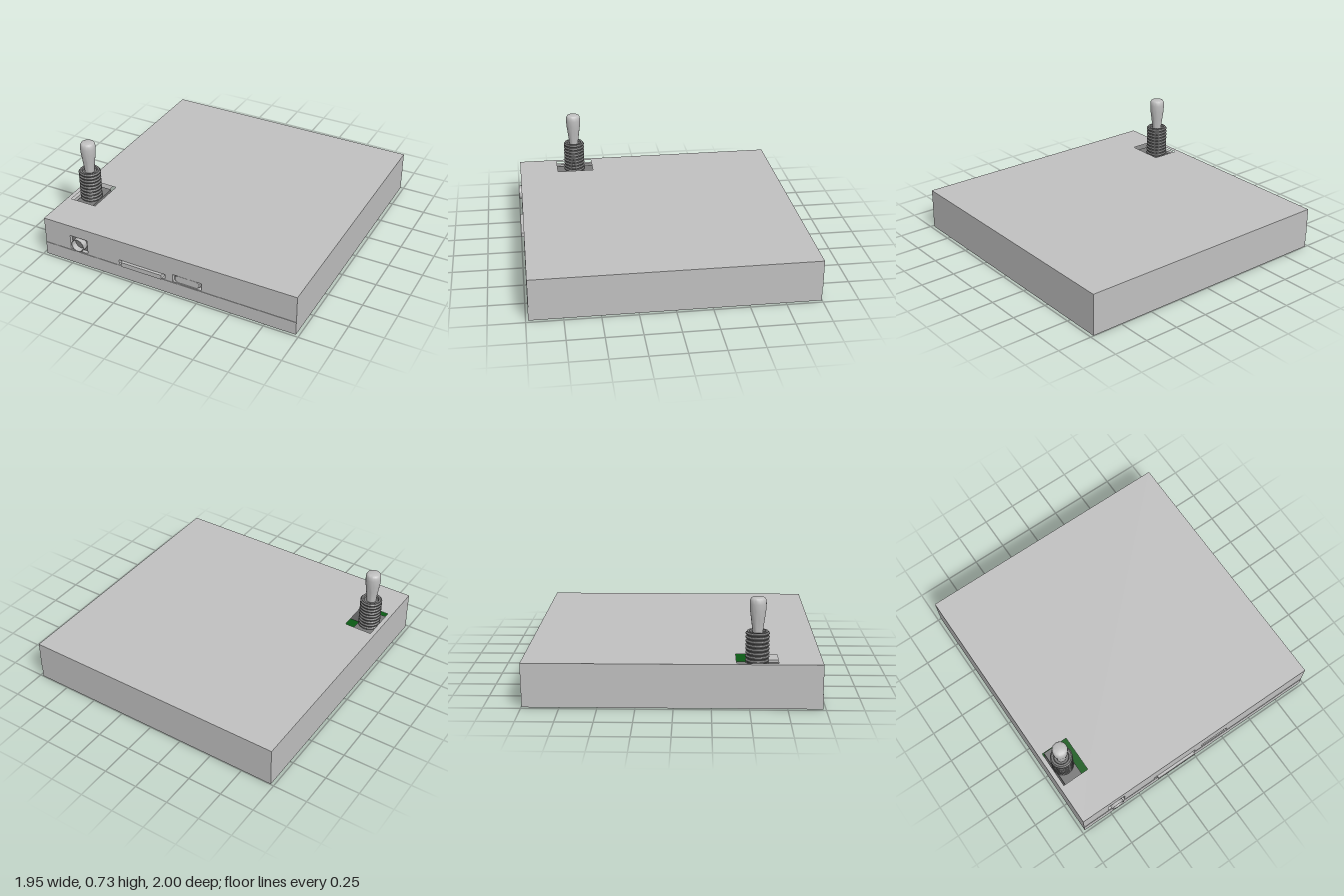
import * as THREE from 'three';
import { toCreasedNormals } from 'three/addons/utils/BufferGeometryUtils.js';

const mat = (name, color, side = THREE.FrontSide) => {
  const m = new THREE.MeshStandardMaterial({ color, side });
  m.name = name;
  return m;
};

// Closed outline from a list of [x, y] points
const outline = (pts, C = THREE.Shape) => new C(pts.map(([x, y]) => new THREE.Vector2(x, y)));
const rect = (x0, x1, y0, y1) => [[x0, y0], [x1, y0], [x1, y1], [x0, y1]];

function extrude(pts, holes, depth) {
  const s = outline(pts);
  holes.forEach(h => s.holes.push(outline(h, THREE.Path)));
  return new THREE.ExtrudeGeometry(s, { depth, bevelEnabled: false });
}
// Outline drawn in x and z, standing between two heights
function slab(pts, holes, y0, y1) {
  const flip = p => p.map(([x, z]) => [x, -z]);
  return extrude(flip(pts), holes.map(flip), y1 - y0).rotateX(-Math.PI / 2).translate(0, y0, 0);
}
const box = (x0, x1, y0, y1, z0, z1) =>
  new THREE.BoxGeometry(x1 - x0, y1 - y0, z1 - z0)
    .translate((x0 + x1) / 2, (y0 + y1) / 2, (z0 + z1) / 2);
const lathe = (pts, n) =>
  new THREE.LatheGeometry(pts.map(([r, y]) => new THREE.Vector2(r, y)), n);

export function createModel() {
  const root = new THREE.Group();
  root.name = 'switchBox';
  const shell = mat('case grey', 0xc0c0c0);
  const metal = mat('light metal', 0xc0c0c0, THREE.DoubleSide);
  const dark = mat('dark grey', 0x787878);
  const green = mat('board green', 0x0a5a14);
  const add = (name, geo, material, parent = root) => {
    const m = new THREE.Mesh(geo, material);
    m.name = name;
    parent.add(m);
    return m;
  };
  const group = name => {
    const g = new THREE.Group();
    g.name = name;
    root.add(g);
    return g;
  };

  const W = 0.977, T = 0.03, SEAM = 0.1, H = 0.302;

  // Lower tray, set a hair forward so the seam shows
  const tray = group('lowerTray');
  add('floor', box(-W, W, 0, T, -0.997, 0.983), shell, tray);
  add('trayWalls', slab(rect(-W, W, -0.997, 0.983), [rect(-W + T, W - T, -0.967, 0.953)], T, SEAM), shell, tray);

  // Upper cover with the switch window and port cut-outs
  const cover = group('upperCover');
  const F = 0.98, B = -1;
  add('lid', slab(rect(-W, W, B, F), [rect(-0.945, -0.742, 0.412, 0.688)], H - T, H), shell, cover);
  add('sideAndBackWalls', slab([[-W, F - T], [-W, B], [W, B], [W, F - T],
    [W - T, F - T], [W - T, B + T], [-W + T, B + T], [-W + T, F - T]], [], SEAM, H - T), shell, cover);
  const jackHole = rect(-0.765, -0.625, 0.11, 0.22);
  const cardHole = rect(-0.366, 0, 0.108, 0.145);
  const videoHole = rect(0.057, 0.28, 0.108, 0.166);
  add('frontWall', extrude(rect(-W, W, SEAM, H - T), [jackHole, cardHole, videoHole], T)
    .translate(0, 0, F - T), shell, cover);

  // Circuit board carrying all connectors
  add('circuitBoard', box(-0.945, 0.4, 0.08, 0.1, 0.3, 0.945), green);

  // Power jack: recessed body and a thin ring
  const jack = group('powerJack');
  add('jackBody', box(-0.765, -0.625, 0.1, 0.225, 0.72, 0.955), dark, jack);
  const ring = lathe([[0.045, 0], [0.045, 0.045], [0.05, 0.045], [0.05, 0]], 32);
  add('jackRing', toCreasedNormals(ring, 0.6).rotateX(Math.PI / 2)
    .translate(-0.695, 0.165, 0.955), metal, jack);

  // Card slot with a card standing slightly proud
  const slot = group('cardSlot');
  add('slotBody', box(-0.37, 0.004, 0.1, 0.149, 0.62, 0.95), metal, slot);
  add('card', box(-0.34, -0.022, 0.109, 0.144, 0.9, 1), metal, slot);

  // Video socket with chamfered shell
  const video = group('videoSocket');
  add('socketBody', box(0.052, 0.285, 0.1, 0.17, 0.75, 0.95), metal, video);
  add('socketShell', extrude([[0.1, 0.111], [0.237, 0.111], [0.262, 0.122], [0.262, 0.152],
    [0.237, 0.163], [0.1, 0.163], [0.075, 0.152], [0.075, 0.122]], [], 0.028)
    .translate(0, 0, 0.95), metal, video);

  // Toggle switch: body, threaded bushing and lever
  const toggle = group('toggleSwitch');
  add('switchBody', box(-0.93, -0.79, 0.1, 0.265, 0.405, 0.695), dark, toggle);
  const thread = [[0.07, 0.262]];
  const turns = 9, pitch = 0.235 / turns;
  for (let i = 0; i < turns; i++) {
    const y = 0.262 + i * pitch;
    thread.push([0.07, y + pitch * 0.15], [0.079, y + pitch * 0.4],
      [0.079, y + pitch * 0.65], [0.07, y + pitch * 0.95]);
  }
  thread.push([0.07, 0.499], [0.055, 0.499], [0.05, 0.488], [0, 0.488]);
  const bushing = add('bushing', toCreasedNormals(lathe(thread, 40), 0.5), dark, toggle);
  const lever = add('lever', toCreasedNormals(lathe([[0.034, 0.48], [0.036, 0.51], [0.045, 0.58],
    [0.053, 0.64], [0.055, 0.685], [0.053, 0.708], [0.046, 0.721], [0.038, 0.725], [0, 0.725]], 32), 0.8),
  metal, toggle);
  bushing.position.set(-0.864, 0, 0.55);
  lever.position.copy(bushing.position);

  return root;
}
